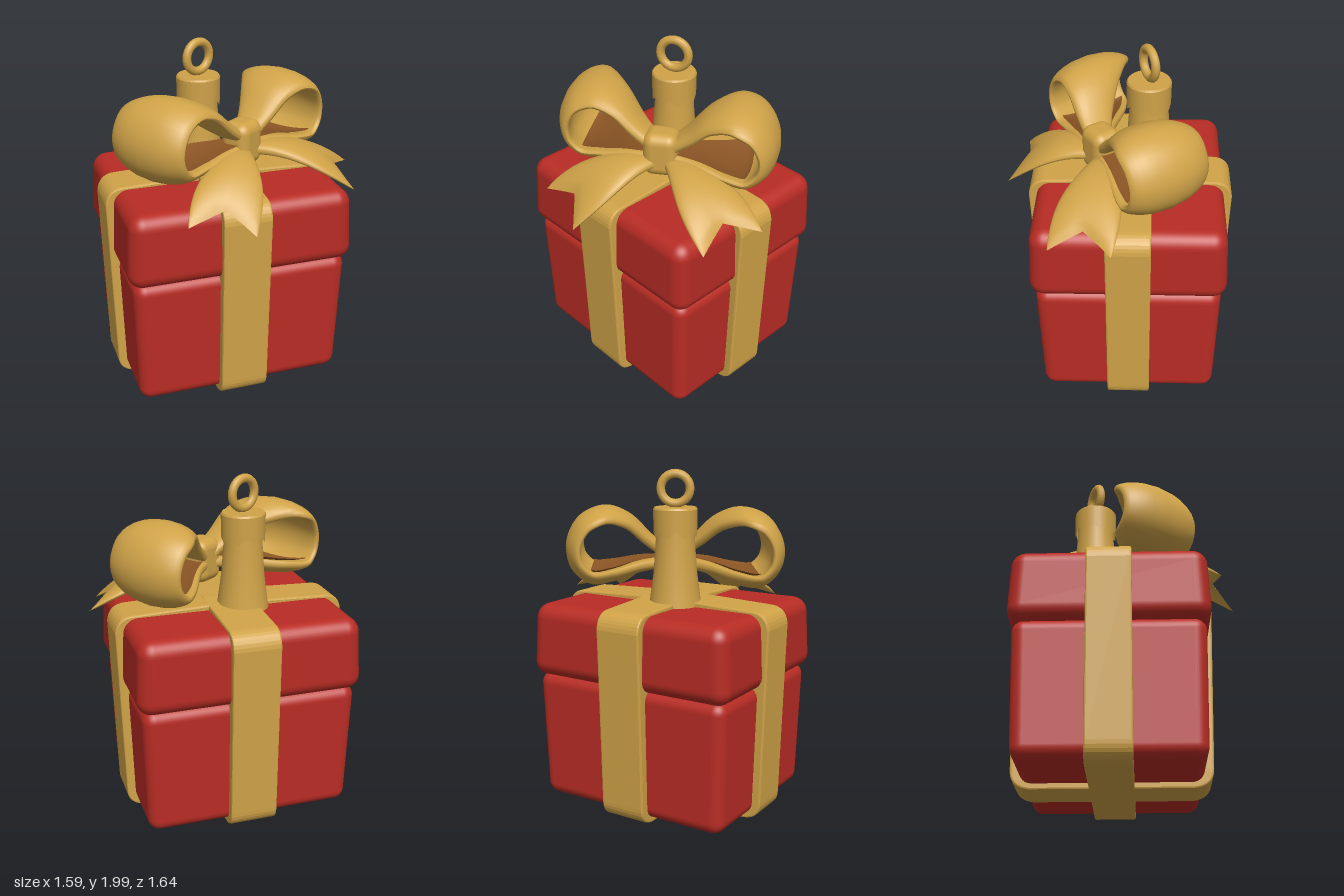
import * as THREE from 'three';
import { RoundedBoxGeometry } from 'three/addons/geometries/RoundedBoxGeometry.js';
import { ParametricGeometry } from 'three/addons/geometries/ParametricGeometry.js';

const material = (name, color, side = THREE.FrontSide) => {
  const m = new THREE.MeshStandardMaterial({ color, side });
  m.name = name;
  return m;
};

export function createModel() {
  const red = material('red', 0xb82c24);
  const gold = material('gold', 0xd0a348, THREE.DoubleSide);
  const brown = material('brown', 0x8a5424, THREE.DoubleSide);
  const model = new THREE.Group();
  model.name = 'giftOrnament';

  const add = (parent, name, geometry, mat, x = 0, y = 0, z = 0) => {
    const mesh = new THREE.Mesh(geometry, mat);
    mesh.name = name;
    mesh.position.set(x, y, z);
    parent.add(mesh);
    return mesh;
  };
  const skin = (fn, slices, stacks) => {
    const g = new ParametricGeometry(fn, slices, stacks);
    g.computeVertexNormals();
    return g;
  };
  const softPow = (v, p) => Math.sign(v) * Math.abs(v) ** p;

  // Box and lid, turned on the vertical axis
  const box = new THREE.Group();
  box.name = 'box';
  box.rotation.y = -35.5 * Math.PI / 180;
  model.add(box);

  const taperedBox = (w, h, d, r, bottom, top) => {
    const g = new RoundedBoxGeometry(w, h, d, 5, r);
    const p = g.attributes.position;
    for (let i = 0; i < p.count; i++) {
      const k = THREE.MathUtils.lerp(bottom, top, p.getY(i) / h + 0.5);
      p.setX(i, p.getX(i) * k);
      p.setZ(i, p.getZ(i) * k);
    }
    return g;
  };
  add(box, 'boxBody', taperedBox(1.05, 0.77, 1.26, 0.07, 0.965, 1), red, 0, 0.425, 0);
  add(box, 'lid', taperedBox(1.11, 0.43, 1.32, 0.085, 1, 0.97), red, 0, 1.01, 0);

  // Ribbon bands: rounded slabs standing slightly proud of the box
  const band = (name, half, width, turn) => {
    const b = half - 0.03, r = 0.1, y0 = 0.015, y1 = 1.24, bevel = 0.01;
    const s = new THREE.Shape();
    s.moveTo(-b + r, y0);
    s.lineTo(b - r, y0);
    s.quadraticCurveTo(b, y0 + 0.01, b, y0 + r);
    s.lineTo(half, y1 - r);
    s.quadraticCurveTo(half - 0.01, y1 - 0.01, half - r, y1 - 0.01);
    s.lineTo(0, y1 + 0.01);
    s.lineTo(-half + r, y1 - 0.01);
    s.quadraticCurveTo(-half + 0.01, y1 - 0.01, -half, y1 - r);
    s.lineTo(-b, y0 + r);
    s.quadraticCurveTo(-b, y0 + 0.01, -b + r, y0);
    const g = new THREE.ExtrudeGeometry(s, {
      depth: width - 2 * bevel, bevelSize: bevel, bevelThickness: bevel, bevelSegments: 2, curveSegments: 8,
    });
    g.translate(0, 0, -width / 2 + bevel);
    add(box, name, g, gold).rotation.y = turn;
  };
  band('shortRibbon', 0.58, 0.28, 0);
  band('longRibbon', 0.68, 0.25, Math.PI / 2);

  // Hanger: flared neck, scalloped cap and ring
  const hx = -0.125;
  const neck = [[0.155, 1.2], [0.145, 1.27], [0.125, 1.42], [0.112, 1.6], [0.11, 1.7]]
    .map(([r, y]) => new THREE.Vector2(r, y));
  add(model, 'hangerNeck', new THREE.LatheGeometry(neck, 24), gold, hx);
  const cap = new THREE.CylinderGeometry(0.127, 0.125, 0.14, 32, 1, true);
  const cp = cap.attributes.position;
  for (let i = 0; i < cp.count; i++) {
    if (cp.getY(i) < 0) cp.setY(i, cp.getY(i) + 0.02 * Math.cos(8 * Math.atan2(cp.getZ(i), cp.getX(i))));
  }
  add(model, 'hangerCap', cap, gold, hx, 1.705);
  add(model, 'hangerCapTop', new THREE.CylinderGeometry(0.12, 0.127, 0.012, 32), gold, hx, 1.779);
  const ring = add(model, 'hangerRing', new THREE.TorusGeometry(0.084, 0.025, 10, 24), gold, hx, 1.89);
  ring.rotation.y = 1.38;

  // Bow loops: a crowned strip swept around a teardrop path
  const teardrop = [[0.04, 1.48], [0.15, 1.57], [0.27, 1.69], [0.4, 1.74], [0.53, 1.69], [0.602, 1.56],
    [0.585, 1.43], [0.49, 1.345], [0.35, 1.36], [0.2, 1.405], [0.04, 1.43]];
  const bow = new THREE.Group();
  bow.name = 'bow';
  model.add(bow);

  const bowLoop = (name, dir, outerX, outerHalf) => {
    const path = new THREE.CatmullRomCurve3(teardrop.map(([z, y]) => new THREE.Vector3(0, y, dir * z)));
    // across: -1..1 over the width, lift: distance along the outward normal
    const place = (v, across, lift, out) => {
      const c = path.getPoint(v), t = path.getTangent(v);
      const f = THREE.MathUtils.smoothstep(Math.abs(c.z), 0, 0.5);
      const off = lift - 0.05 * f * across * across;
      out.set(
        THREE.MathUtils.lerp(0.18, outerX, f) + across * THREE.MathUtils.lerp(0.075, outerHalf, f),
        c.y + dir * t.z * off,
        c.z - dir * t.y * off,
      );
    };
    add(bow, name, skin((u, v, out) => {
      const a = dir * u * Math.PI * 2;
      place(v, softPow(Math.cos(a), 0.7), 0.036 * softPow(Math.sin(a), 0.7), out);
    }, 24, 48), gold);
    // Dark lining along the lower inside of the loop
    add(bow, name + 'Lining', skin((u, v, out) => {
      place(0.68 + 0.3 * v, (u * 2 - 1) * 0.85, -0.039, out);
    }, 8, 14), brown);
  };
  bowLoop('leftBowLoop', 1, -0.04, 0.25);
  bowLoop('rightBowLoop', -1, 0.13, 0.25);
  add(bow, 'bowKnot', new RoundedBoxGeometry(0.18, 0.26, 0.2, 5, 0.06), gold, 0.19, 1.45, 0.01);

  // Bow tails: drooping swallowtail strips between two edge lines
  const tail = (name, rootA, rootB, tipA, tipB) => {
    const [ra, rb, ta, tb] = [rootA, rootB, tipA, tipB].map((p) => new THREE.Vector3(...p));
    add(bow, name, skin((u, v, out) => {
      const ang = u * Math.PI * 2;
      const across = softPow(Math.cos(ang), 0.75);
      const s = v * (1 - 0.17 * (1 - Math.abs(across)));
      const spread = across * (1 + 0.35 * Math.sin(Math.PI * s));
      const k = 0.5 + spread / 2;
      const root = rb.clone().lerp(ra, k), tip = tb.clone().lerp(ta, k);
      out.copy(root).lerp(tip, s);
      out.y = THREE.MathUtils.lerp(root.y, tip.y, s * s);
      const thick = 0.035 * Math.sqrt(Math.max(0, 1 - v ** 8));
      out.y += thick * softPow(Math.sin(ang), 0.8) + 0.025 * (1 - across * across) * Math.sin(Math.PI * s);
    }, 32, 20), gold);
  };
  tail('leftBowTail', [0.27, 1.4, 0.03], [0.16, 1.4, 0.1], [0.59, 1.13, 0.43], [0.31, 1.19, 0.66]);
  tail('rightBowTail', [0.16, 1.4, -0.1], [0.27, 1.4, -0.02], [0.53, 1.22, -0.6], [0.755, 1.18, -0.32]);

  return model;
}
